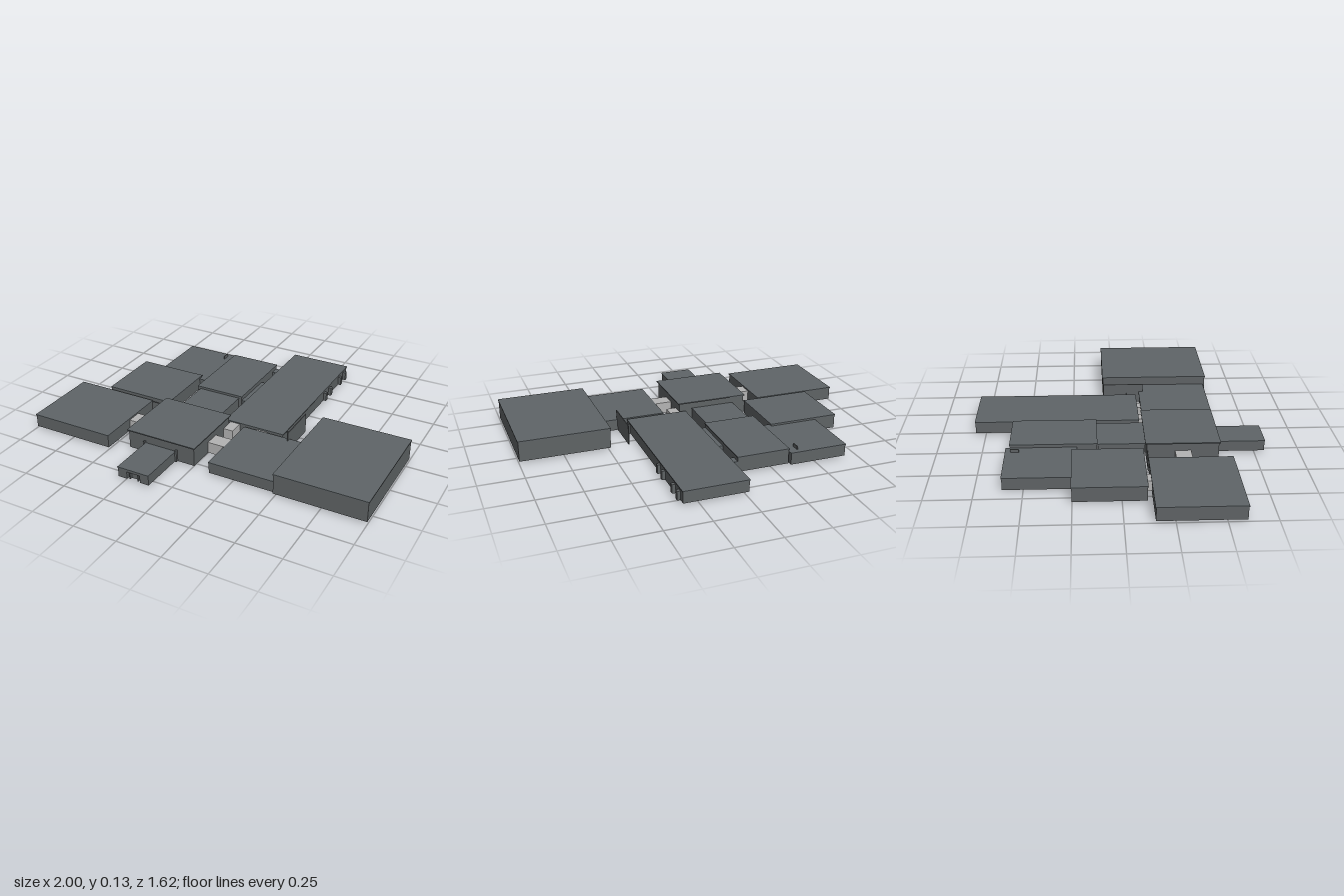
import * as THREE from 'three';

export function createModel() {
  const model = new THREE.Group();
  const mat = (name, color) => {
    const m = new THREE.MeshStandardMaterial({ color });
    m.name = name;
    return m;
  };
  const slate = mat('slate roof', 0x5f6568);
  const wall = mat('grey wall', 0x5f6365);
  const light = mat('pale link', 0xb4b4b4);

  // Box given by its extents on each axis
  function block(name, m, x0, x1, y0, y1, z0, z1, parent = model) {
    const mesh = new THREE.Mesh(new THREE.BoxGeometry(x1 - x0, y1 - y0, z1 - z0), m);
    mesh.position.set((x0 + x1) / 2, (y0 + y1) / 2, (z0 + z1) / 2);
    mesh.name = name;
    parent.add(mesh);
    return mesh;
  }

  // Flat-roofed building: walls, and a roof slab with a slight overhang
  function building(name, x0, x1, z0, z1, top, inset = 0.003) {
    const g = new THREE.Group();
    g.name = name;
    block('walls', wall, x0 + inset, x1 - inset, 0.01, top - 0.006, z0 + inset, z1 - inset, g);
    block('roof', slate, x0, x1, top - 0.006, top, z0, z1, g);
    model.add(g);
  }

  building('westWing', -1, -0.5, 0.15, 0.6, 0.087);
  building('westHall', -0.81, -0.4, -0.255, 0.13, 0.092);
  building('northWestHall', -0.68, -0.35, -0.61, -0.225, 0.079);
  building('northHall', -0.35, -0.05, -0.59, -0.115, 0.097);
  building('centralPassage', -0.33, -0.07, -0.115, 0.145, 0.083, 0.002);
  building('centralHall', -0.41, 0.015, 0.14, 0.545, 0.123, 0.008);
  building('longHall', -0.025, 0.335, -0.81, 0.13, 0.078);
  building('eastHall', 0.105, 0.487, 0.15, 0.56, 0.076);
  building('gymnasium', 0.485, 1, -0.07, 0.573, 0.128);

  // Entrance block with a recessed doorway
  const entrance = new THREE.Group();
  entrance.name = 'entrance';
  model.add(entrance);
  block('entranceBody', wall, -0.293, -0.107, 0.01, 0.064, 0.535, 0.785, entrance);
  for (const [x0, x1] of [[-0.293, -0.24], [-0.16, -0.107]])
    block('entrancePier', wall, x0, x1, 0.01, 0.064, 0.785, 0.805, entrance);
  block('entranceLintel', wall, -0.24, -0.16, 0.052, 0.064, 0.785, 0.805, entrance);
  block('entranceRoof', slate, -0.295, -0.105, 0.064, 0.07, 0.54, 0.808, entrance);
  for (const x of [-0.225, -0.175])
    block('doorPost', wall, x - 0.003, x + 0.003, 0.01, 0.052, 0.785, 0.8, entrance);
  for (const x of [-0.3, -0.1])
    block('entranceColumn', wall, x - 0.005, x + 0.005, 0.01, 0.08, 0.537, 0.55, entrance);

  // Pale corridors between buildings
  block('westCorridor', light, -0.505, -0.4, 0.01, 0.075, 0.3, 0.387);
  block('eastCorridor', light, 0.005, 0.108, 0.01, 0.075, 0.3, 0.387);
  block('innerCorridor', light, 0.005, 0.065, 0.01, 0.07, 0.125, 0.213);
  block('westHallLink', light, -0.715, -0.645, 0.01, 0.07, 0.125, 0.155);
  block('eastHallLink', light, 0.175, 0.235, 0.01, 0.065, 0.125, 0.155);

  // Dark links and screen walls
  block('northLink', slate, -0.055, -0.02, 0.01, 0.07, -0.585, -0.532);
  block('northPassageLink', slate, -0.055, -0.02, 0.01, 0.07, -0.38, -0.12);
  block('westScreen', wall, -0.505, -0.4, 0.01, 0.08, 0.148, 0.153);
  block('roofFin', wall, -0.403, -0.398, 0.075, 0.098, -0.58, -0.535);

  // Freestanding wall and its strut
  block('courtWall', wall, 0.38, 0.385, 0.01, 0.125, -0.065, 0.175);
  block('courtWallStrut', wall, 0.335, 0.382, 0.01, 0.07, 0.073, 0.077);

  // Side doors of the long hall
  for (const z of [-0.76, -0.685, -0.53, -0.455])
    block('sideDoor', wall, 0.33, 0.35, 0.012, 0.062, z - 0.011, z + 0.011);

  // Sunken floor under the large hall
  block('sunkenFloor', wall, 0.6, 0.88, 0, 0.012, 0.11, 0.41);

  return model;
}
